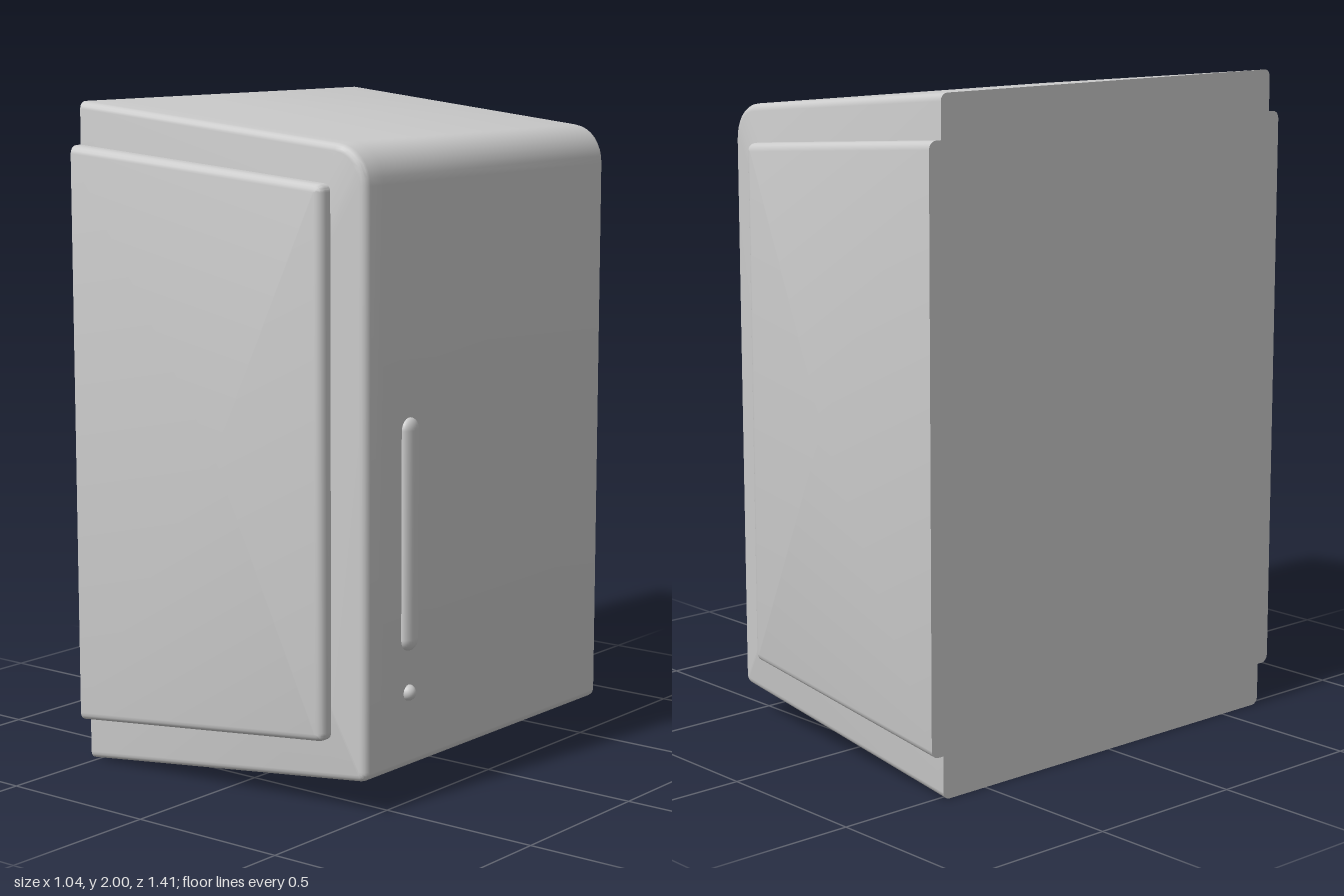
import * as THREE from 'three';
import { toCreasedNormals } from 'three/addons/utils/BufferGeometryUtils.js';

const BACK = -0.52;
const halfDepth = (x) => 0.66 - 0.064 * (x - BACK);   // sides taper toward +x
const floorY = (x) => 0.1 * (x - BACK);               // underside rises toward +x
const HOLE = { x0: 0.22, x1: 0.40, z0: 0.265, z1: 0.515, top: 0.37 };

// Columns of a rounded edge: inset of the outline and offset from the side plane
function roundedEdge(r, side, lift = 0) {
  const cols = [];
  for (let k = 0; k <= 4; k++) {
    const a = (k / 4) * Math.PI / 2;
    cols.push({
      inset: r * (1 - Math.cos(a)),
      z: (x) => side * (halfDepth(x) + lift - r * (1 - Math.sin(a))),
    });
  }
  return side > 0 ? cols : cols.reverse();
}

// Skins an anticlockwise outline through columns of rising z and caps both ends
function loft(outline, cols, skip = () => false) {
  const n = outline.length, m = cols.length, pos = [], idx = [];
  const normals = outline.map((p, i) => {
    if (i === 0) return new THREE.Vector2(0, -1);       // back stays flat
    if (i === n - 1) return new THREE.Vector2(0, 1);
    const a = p.clone().sub(outline[i - 1]).normalize();
    const b = outline[i + 1].clone().sub(p).normalize();
    const t = a.add(b).normalize();
    return new THREE.Vector2(t.y, -t.x);
  });
  for (const c of cols) {
    outline.forEach((p, i) => {
      const x = p.x - normals[i].x * c.inset, y = p.y - normals[i].y * c.inset;
      pos.push(x, y, c.z(x));
    });
  }
  for (let j = 0; j < m - 1; j++) {
    for (let i = 0; i < n; i++) {
      if (skip(i, j)) continue;
      const a = j * n + i, b = j * n + (i + 1) % n;
      idx.push(a, b, b + n, a, b + n, a + n);
    }
  }
  for (const j of [0, m - 1]) {
    const c = pos.length / 3;
    pos.push(0, 1, cols[j].z(0));
    for (let i = 0; i < n; i++) {
      const a = j * n + i, b = j * n + (i + 1) % n;
      if (j) idx.push(c, a, b);
      else idx.push(c, b, a);
    }
  }
  const g = new THREE.BufferGeometry();
  g.setAttribute('position', new THREE.Float32BufferAttribute(pos, 3));
  g.setIndex(idx);
  return toCreasedNormals(g, 0.5);
}

function bodyGeometry() {
  const s = new THREE.Shape();
  s.moveTo(BACK, 0);
  s.lineTo(HOLE.x0, floorY(HOLE.x0));
  s.lineTo(HOLE.x1, floorY(HOLE.x1));
  s.lineTo(0.465, floorY(0.465));
  s.quadraticCurveTo(0.495, 0.101, 0.495, 0.13);
  s.lineTo(0.495, 1.795);
  s.bezierCurveTo(0.495, 1.855, 0.455, 1.904, 0.395, 1.91);
  s.lineTo(BACK, 2);
  const left = roundedEdge(0.022, -1);
  const cols = [...left, { inset: 0, z: () => HOLE.z0 }, { inset: 0, z: () => HOLE.z1 },
    ...roundedEdge(0.022, 1)];
  return loft(s.getPoints(8), cols, (i, j) => i === 1 && j === left.length);
}

function panelGeometry(side) {
  const s = new THREE.Shape();
  s.moveTo(BACK, 0.13);
  s.lineTo(0.352, 0.208);
  s.quadraticCurveTo(0.377, 0.21, 0.377, 0.235);
  s.lineTo(0.377, 1.775);
  s.quadraticCurveTo(0.377, 1.797, 0.352, 1.799);
  s.lineTo(BACK, 1.873);
  const base = { inset: 0, z: (x) => side * halfDepth(x) };
  const edge = roundedEdge(0.024, side, 0.043);
  return loft(s.getPoints(6), side > 0 ? [base, ...edge] : [...edge, base]);
}

// Inward-facing pocket, open at the sloping underside
function recessGeometry() {
  const { x0, x1, z0, z1, top } = HOLE;
  const g = new THREE.BoxGeometry(x1 - x0, 1, z1 - z0);
  g.translate((x0 + x1) / 2, 0, (z0 + z1) / 2);
  const p = g.attributes.position;
  for (let i = 0; i < p.count; i++) p.setY(i, p.getY(i) > 0 ? top : floorY(p.getX(i)));
  const faces = Array.from(g.index.array);
  faces.splice(18, 6);
  g.setIndex(faces.reverse());
  const open = g.toNonIndexed();
  open.computeVertexNormals();
  return open;
}

export function createModel() {
  const group = new THREE.Group();
  const material = new THREE.MeshStandardMaterial({ color: 0xcccccc });
  const add = (name, geometry) => {
    const mesh = new THREE.Mesh(geometry, material);
    mesh.name = name;
    group.add(mesh);
    return mesh;
  };

  add('body', bodyGeometry());
  add('bottomRecess', recessGeometry());
  add('frontSidePanel', panelGeometry(1));
  add('rearSidePanel', panelGeometry(-1));

  // Slim bar and small button on the +x face
  const bar = add('handleBar', new THREE.CapsuleGeometry(0.036, 0.608, 8, 24));
  bar.position.set(0.495, 0.79, 0.393);
  bar.scale.x = 0.58;
  const button = add('button', new THREE.SphereGeometry(0.024, 24, 16));
  button.position.set(0.493, 0.325, 0.393);
  return group;
}
